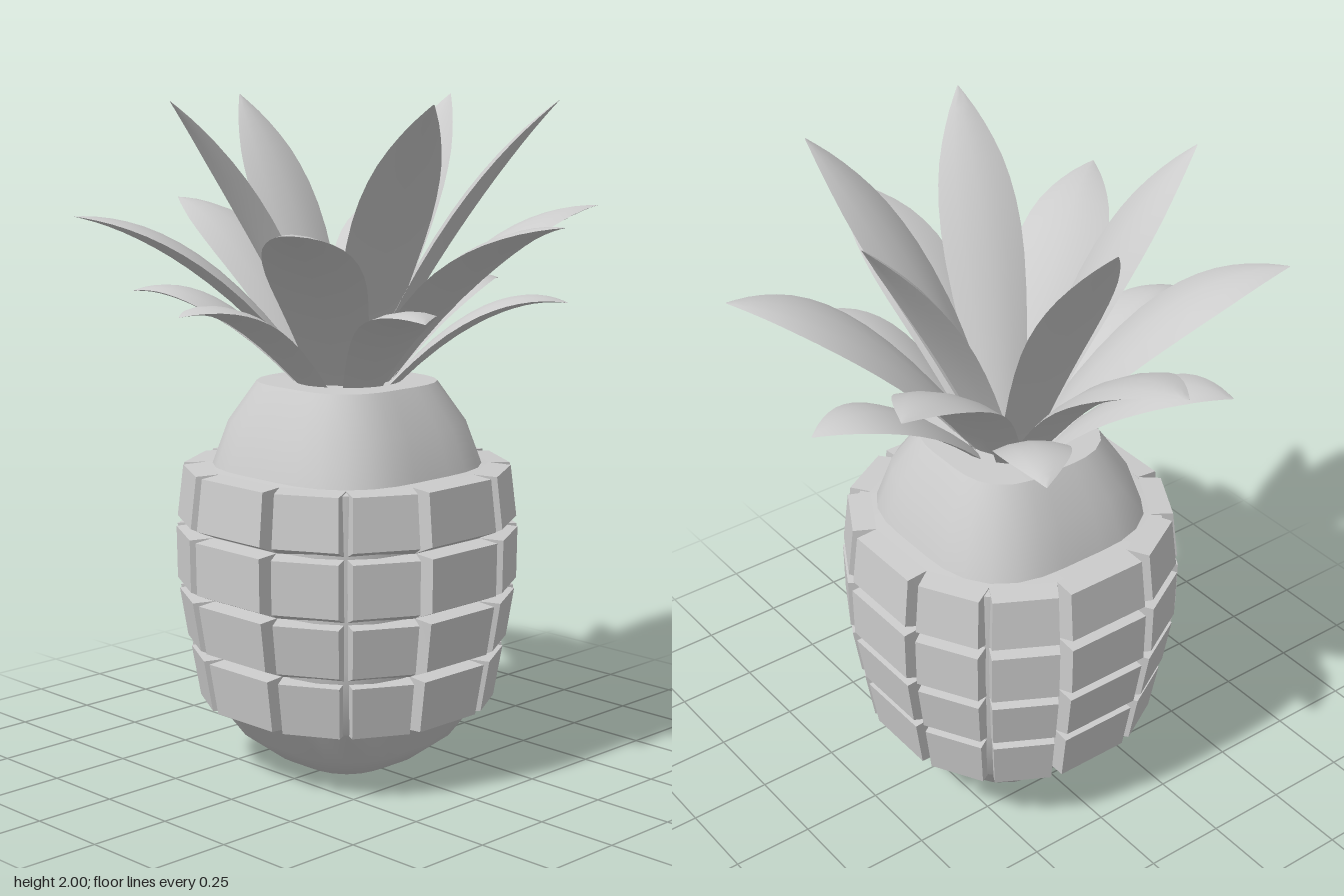
import * as THREE from 'three';
import { toCreasedNormals } from 'three/addons/utils/BufferGeometryUtils.js';

const material = new THREE.MeshStandardMaterial({ color: 0xcccccc, side: THREE.DoubleSide });
const CENTRE_Z = -0.03;

// Radius factor that swells a circle into a rounded square
const squareness = (angle, amount) => 1 + amount * Math.sin(2 * angle) ** 2;

function meshFrom(positions, indices, crease, name) {
  const geo = new THREE.BufferGeometry();
  geo.setAttribute('position', new THREE.Float32BufferAttribute(positions, 3));
  geo.setIndex(indices);
  const mesh = new THREE.Mesh(toCreasedNormals(geo, crease), material);
  mesh.name = name;
  return mesh;
}

// Rounded-square core with a domed top and a tapered base
function makeCore() {
  const profile = [
    [0, 0], [0.1, 0.003], [0.19, 0.02], [0.28, 0.09], [0.355, 0.2], [0.365, 0.21],
    [0.385, 0.4], [0.405, 0.6], [0.4, 0.915], [0.352, 0.92],
    [0.31, 1.05], [0.235, 1.17], [0, 1.175],
  ].map(([r, y]) => new THREE.Vector2(r, y));
  const geo = new THREE.LatheGeometry(profile, 32);
  geo.deleteAttribute('normal');
  geo.deleteAttribute('uv');
  const p = geo.attributes.position;
  for (let i = 0; i < p.count; i++) {
    const f = squareness(Math.atan2(p.getX(i), p.getZ(i)), 0.14);
    p.setXYZ(i, p.getX(i) * f, p.getY(i), p.getZ(i) * f);
  }
  const mesh = new THREE.Mesh(toCreasedNormals(geo, 0.8), material);
  mesh.name = 'core';
  return mesh;
}

// One raised block: a wide root on the core and a smaller outer face
function makeBlock(a0, a1, { y0, y1, r0, r1 }) {
  const gap = 0.04, depth = 0.065, pos = [];
  const corner = (a, radius, y) => {
    const r = radius * squareness(a, 0.03);
    pos.push(Math.sin(a) * r, y, Math.cos(a) * r);
  };
  corner(a0, r0 - depth, y0); corner(a1, r0 - depth, y0);
  corner(a1, r1 - depth, y1); corner(a0, r1 - depth, y1);
  const low = y0 < 0.25 ? y0 + 0.005 : y0 + 0.028;
  corner(a0 + gap, r0, low); corner(a1 - gap, r0, low);
  corner(a1 - gap, r1, y1 - 0.005); corner(a0 + gap, r1, y1 - 0.005);
  const idx = [4, 5, 6, 4, 6, 7];
  for (let i = 0; i < 4; i++) {
    const j = (i + 1) % 4;
    idx.push(i, j, 4 + j, i, 4 + j, 4 + i);
  }
  return meshFrom(pos, idx, 0.2, 'block');
}

// Four rings of blocks, each quarter turn being one wide and two narrow ones
function makeBlocks() {
  const group = new THREE.Group();
  group.name = 'blocks';
  const rows = [
    { y0: 0.2, y1: 0.365, r0: 0.431, r1: 0.457 },
    { y0: 0.365, y1: 0.545, r0: 0.466, r1: 0.489 },
    { y0: 0.545, y1: 0.735, r0: 0.494, r1: 0.496 },
    { y0: 0.735, y1: 0.922, r0: 0.492, r1: 0.474 },
  ];
  const edges = [-18, 18, 45, 72].map(THREE.MathUtils.degToRad);
  for (const row of rows) {
    for (let q = 0; q < 4; q++) {
      for (let i = 0; i < 3; i++) {
        const turn = q * Math.PI / 2;
        group.add(makeBlock(edges[i] + turn, edges[i + 1] + turn, row));
      }
    }
  }
  return group;
}

// Half width along a leaf: narrow root, wide middle, pointed tip
const leafOutline = new THREE.SplineCurve([
  [0, 0.5], [0.25, 0.82], [0.5, 1], [0.7, 0.86], [0.87, 0.46], [1, 0.015],
].map(([t, w]) => new THREE.Vector2(t, w)));

// Leaf from root to tip, with a lens-shaped cross-section
function makeLeaf(x, z, tier) {
  const dir = new THREE.Vector3(x, 0, z - CENTRE_Z);
  const reach = dir.length();
  dir.normalize();
  const at = (r, y) => new THREE.Vector3(dir.x * r, y, CENTRE_Z + dir.z * r);
  const curve = new THREE.QuadraticBezierCurve3(
    at(tier.root, 1.13), at(reach * tier.bend[0], tier.bend[1]), at(reach, tier.tipY));
  const side = new THREE.Vector3(0, 1, 0).cross(dir);
  const section = [[-1, 0], [-0.55, 0.14], [0, 0.2], [0.55, 0.14], [1, 0],
    [0.55, -0.12], [0, -0.17], [-0.55, -0.12]];
  const steps = 14, n = section.length, pos = [], idx = [];
  for (let i = 0; i <= steps; i++) {
    const s = leafOutline.getPoint(i / steps);
    const t = THREE.MathUtils.clamp(s.x, 0, 1);
    const p = curve.getPoint(t);
    const up = curve.getTangent(t).cross(side);
    for (const [u, v] of section) {
      const w = s.y * tier.width;
      const c = p.clone().addScaledVector(side, u * w).addScaledVector(up, v * w);
      pos.push(c.x, c.y, c.z);
    }
    if (i === steps) break;
    for (let k = 0; k < n; k++) {
      const a = i * n + k, b = i * n + (k + 1) % n;
      idx.push(a, a + n, b, b, a + n, b + n);
    }
  }
  // Root and tip caps
  for (let k = 1; k < n - 1; k++) {
    idx.push(0, k, k + 1);
    const e = steps * n;
    idx.push(e, e + k + 1, e + k);
  }
  return meshFrom(pos, idx, 0.6, 'leaf');
}

// Crown of three tiers; each tip is given as x, z
function makeCrown() {
  const crown = new THREE.Group();
  crown.name = 'crown';
  const tiers = [
    { name: 'lowerLeaves', root: 0.11, bend: [0.64, 1.48], tipY: 1.42, width: 0.105,
      tips: [[-0.67, 0], [0.67, -0.03], [-0.3, 0.57], [0.33, 0.54], [0.31, -0.6], [-0.37, -0.57]] },
    { name: 'middleLeaves', root: 0.08, bend: [0.54, 1.63], tipY: 1.67, width: 0.138,
      tips: [[0, -0.79], [-0.69, -0.43], [0.65, -0.44], [-0.67, 0.43], [0.69, 0.35], [0.02, 0.78]] },
    { name: 'upperLeaves', root: 0.04, bend: [0.5, 1.72], tipY: 1.995, width: 0.12,
      tips: [[-0.54, -0.18], [-0.24, 0.54], [0.05, -0.55], [0.31, 0.51], [0.55, -0.13]] },
  ];
  for (const tier of tiers) {
    const group = new THREE.Group();
    group.name = tier.name;
    for (const [x, z] of tier.tips) group.add(makeLeaf(x, z, tier));
    crown.add(group);
  }
  return crown;
}

export function createModel() {
  const model = new THREE.Group();
  model.name = 'pineapple';
  const body = new THREE.Group();
  body.name = 'body';
  body.position.z = CENTRE_Z;
  body.add(makeCore(), makeBlocks());
  model.add(body, makeCrown());
  return model;
}
